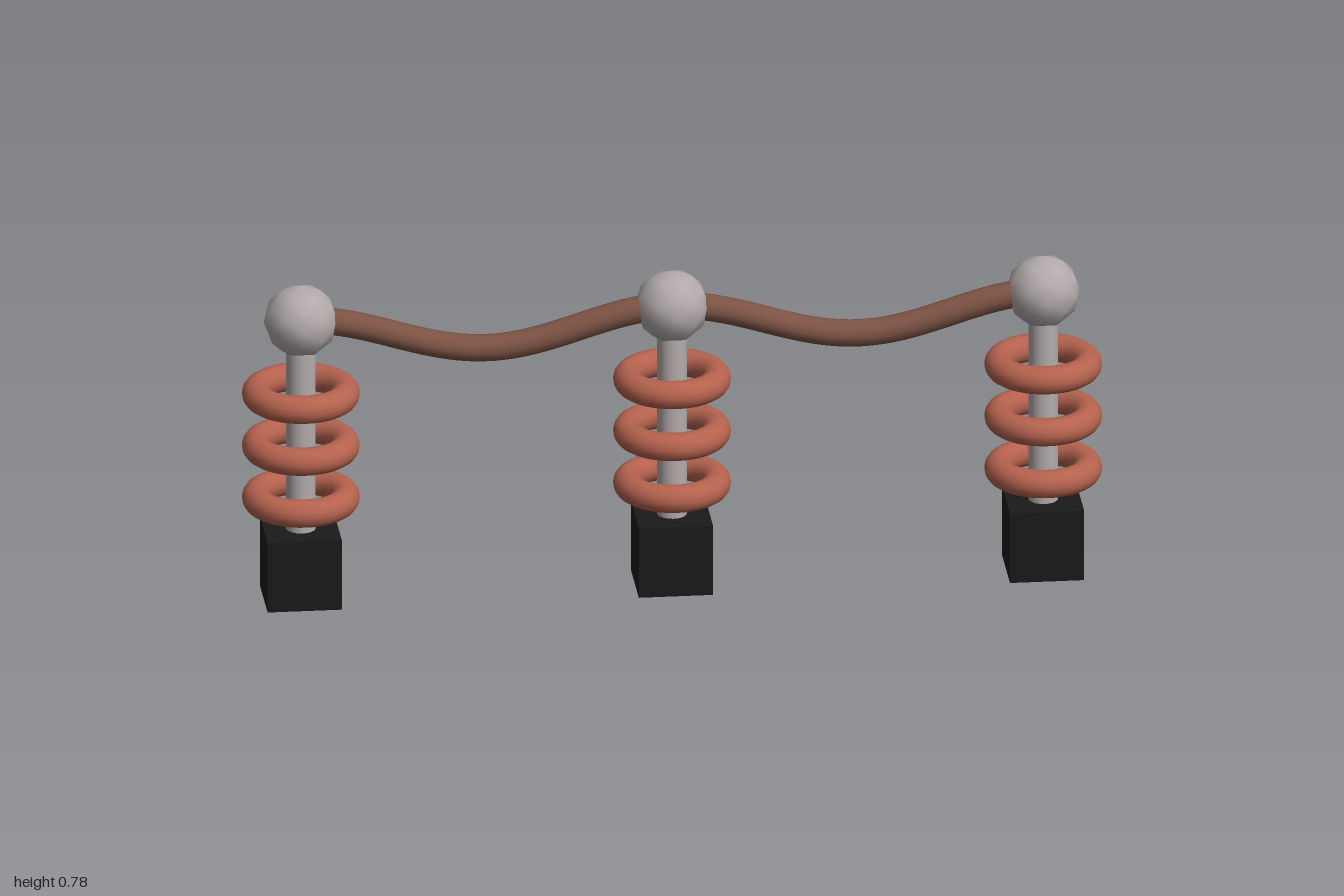
import * as THREE from 'three';

const U = 0.1727; // block edge length
const SPAN = 5 * U; // distance between posts

const material = (color) => new THREE.MeshStandardMaterial({ color });

function part(name, geometry, mat, x = 0, y = 0) {
  const mesh = new THREE.Mesh(geometry, mat);
  mesh.name = name;
  mesh.position.set(x, y, 0);
  return mesh;
}

// Cable hanging between two posts, level at both ends
class SagCurve extends THREE.Curve {
  getPoint(t, target = new THREE.Vector3()) {
    const sag = 0.25 * U * (1 - Math.cos(2 * Math.PI * t));
    return target.set((t - 0.5) * SPAN, 4 * U - sag, 0);
  }
}

export function createModel() {
  const model = new THREE.Group();
  model.name = 'insulatorLine';

  const black = material(0x1a1a1a);
  const metal = material(0xb3abab);
  const clay = material(0xb5624e);
  const brown = material(0x7c5344);

  const block = new THREE.BoxGeometry(U, U, U);
  const rod = new THREE.CylinderGeometry(0.2 * U, 0.2 * U, 3 * U, 20);
  const ring = new THREE.TorusGeometry(0.6 * U, 0.19 * U, 16, 40).rotateX(Math.PI / 2);
  const ball = new THREE.IcosahedronGeometry(0.5 * U, 1);
  const cable = new THREE.TubeGeometry(new SagCurve(), 48, 0.185 * U, 12);

  // Three posts, each a block, rod, stack of rings and ball
  for (const i of [-1, 0, 1]) {
    const post = new THREE.Group();
    post.name = 'post';
    post.position.x = i * SPAN;
    post.add(part('baseBlock', block, black, 0, U / 2));
    post.add(part('rod', rod, metal, 0, 2.5 * U));
    for (let k = 0; k < 3; k++) {
      post.add(part('insulatorRing', ring, clay, 0, (1.45 + 0.75 * k) * U));
    }
    post.add(part('topBall', ball, metal, 0, 4 * U));
    model.add(post);
  }

  // Cables joining neighbouring balls
  for (const side of [-1, 1]) model.add(part('cable', cable, brown, side * SPAN / 2));

  return model;
}
